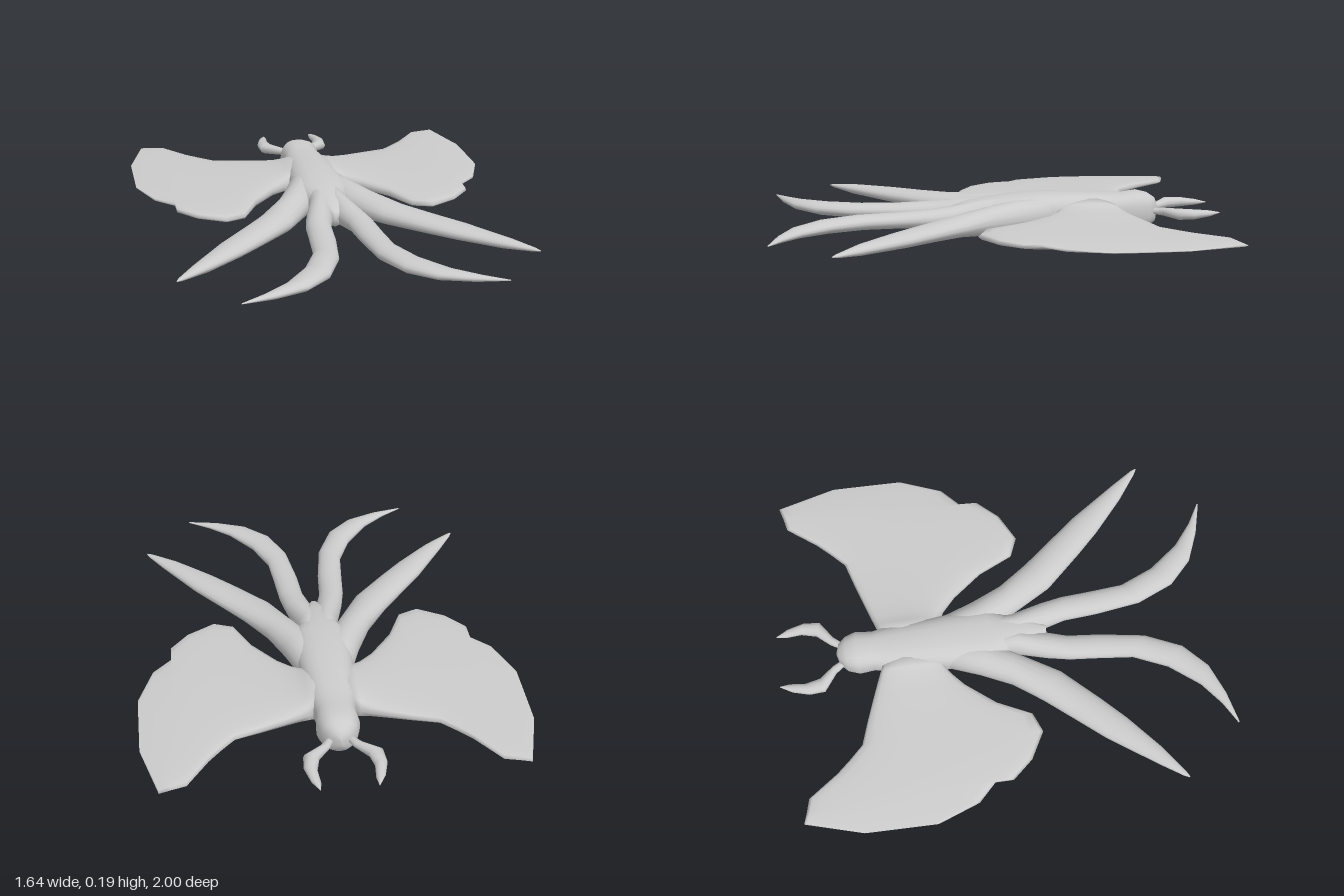
import * as THREE from 'three';

const MID = 0.094; // height of the plane every part is centred on

// Skin a row of flattened cross-sections. Each station is [ax, az, bx, bz, h]:
// the two side edges seen from above and the half height between them.
// power < 1 makes the section boxier than an ellipse.
function loft(name, stations, { side = 1, segments = 16, power = 1, material }) {
  const pos = [], index = [];
  const bend = (v) => Math.sign(v) * Math.pow(Math.abs(v), power);
  const rows = stations.map(([ax, az, bx, bz, h]) => ({
    cx: side * (ax + bx) / 2, cz: (az + bz) / 2,
    vx: side * (ax - bx) / 2, vz: (az - bz) / 2, h,
  }));
  for (const r of rows) {
    for (let j = 0; j < segments; j++) {
      const t = (j / segments) * Math.PI * 2;
      const c = power < 0.6 ? Math.cos(t) : bend(Math.cos(t));
      pos.push(r.cx + r.vx * c, MID + r.h * bend(Math.sin(t)), r.cz + r.vz * c);
    }
  }
  // Keep faces outward whichever way the stations run
  const [p, q] = rows;
  const outward = -p.vz * (q.cx - p.cx) + p.vx * (q.cz - p.cz) > 0;
  const tri = (a, b, c) => (outward ? index.push(a, b, c) : index.push(a, c, b));
  const last = rows.length - 1;
  for (let i = 0; i < last; i++) {
    for (let j = 0; j < segments; j++) {
      const k = (j + 1) % segments;
      const a = i * segments + j, b = i * segments + k;
      tri(a, b, a + segments);
      tri(b, b + segments, a + segments);
    }
  }
  // End caps
  for (const i of [0, last]) {
    const centre = pos.length / 3;
    pos.push(rows[i].cx, MID, rows[i].cz);
    for (let j = 0; j < segments; j++) {
      const a = i * segments + j, b = i * segments + ((j + 1) % segments);
      if (i) tri(centre, a, b); else tri(centre, b, a);
    }
  }
  const geometry = new THREE.BufferGeometry();
  geometry.setAttribute('position', new THREE.Float32BufferAttribute(pos, 3));
  geometry.setIndex(index);
  geometry.computeVertexNormals();
  const mesh = new THREE.Mesh(geometry, material);
  mesh.name = name;
  return mesh;
}

// Body: z, half width, half height from head to rump
const BODY = [
  [-0.735, 0.005, 0.02], [-0.722, 0.045, 0.055], [-0.69, 0.075, 0.077],
  [-0.64, 0.092, 0.089], [-0.57, 0.085, 0.08], [-0.5, 0.1, 0.082],
  [-0.35, 0.11, 0.089], [-0.2, 0.125, 0.093], [-0.05, 0.13, 0.085],
  [0.04, 0.085, 0.074], [0.13, 0.065, 0.06], [0.21, 0.02, 0.035],
].map(([z, w, h]) => [w, z, -w, z, h]);

// Wing: leading edge point, trailing edge point, half thickness
const WING = [
  [0.06, -0.53, 0.06, -0.27, 0.075], [0.11, -0.55, 0.11, -0.26, 0.055],
  [0.15, -0.565, 0.15, -0.235, 0.042], [0.22, -0.59, 0.21, -0.18, 0.035],
  [0.32, -0.625, 0.31, -0.05, 0.03], [0.43, -0.66, 0.38, 0.1, 0.026],
  [0.49, -0.72, 0.466, 0.135, 0.024], [0.545, -0.78, 0.587, 0.07, 0.021],
  [0.64, -0.91, 0.667, -0.02, 0.017], [0.7, -0.925, 0.667, -0.1, 0.015],
  [0.75, -0.94, 0.75, -0.18, 0.011], [0.82, -0.685, 0.82, -0.365, 0.002],
];

// Streamers: outer edge, inner edge, half height
const OUTER_TAIL = [
  [0.11, -0.27, 0.0, -0.22, 0.075], [0.17, -0.11, 0.03, -0.05, 0.074],
  [0.235, 0.03, 0.085, 0.05, 0.064], [0.33, 0.16, 0.2, 0.25, 0.045],
  [0.42, 0.27, 0.35, 0.41, 0.037], [0.535, 0.41, 0.45, 0.51, 0.032],
  [0.68, 0.62, 0.6, 0.64, 0.022], [0.742, 0.715, 0.722, 0.728, 0.008],
  [0.752, 0.738, 0.748, 0.742, 0.002],
];
const INNER_TAIL = [
  [0.09, -0.08, -0.01, -0.05, 0.078], [0.09, 0.06, -0.01, 0.1, 0.07],
  [0.13, 0.2, 0.015, 0.22, 0.05], [0.15, 0.3, 0.038, 0.3, 0.042],
  [0.16, 0.42, 0.05, 0.45, 0.035], [0.175, 0.58, 0.08, 0.65, 0.033],
  [0.24, 0.73, 0.15, 0.81, 0.03], [0.34, 0.86, 0.255, 0.91, 0.023],
  [0.44, 0.94, 0.39, 0.965, 0.014], [0.535, 0.995, 0.53, 1.0, 0.002],
];
const ANTENNA = [
  [0.055, -0.66, 0.015, -0.66, 0.016], [0.06, -0.71, 0.025, -0.712, 0.015],
  [0.088, -0.745, 0.05, -0.758, 0.018], [0.165, -0.8, 0.1, -0.818, 0.025],
  [0.17, -0.87, 0.116, -0.885, 0.022], [0.15, -0.945, 0.11, -0.955, 0.013],
  [0.12, -0.998, 0.116, -0.998, 0.002],
];

export function createModel() {
  const model = new THREE.Group();
  model.name = 'wingedInsect';
  const material = new THREE.MeshStandardMaterial({ color: 0xcccccc });

  model.add(loft('body', BODY, { material, segments: 24, power: 0.8 }));

  // Paired parts, mirrored left and right
  for (const [side, label] of [[1, 'left'], [-1, 'right']]) {
    model.add(
      loft(label + 'Wing', WING, { side, material, segments: 24, power: 0.5 }),
      loft(label + 'OuterTail', OUTER_TAIL, { side, material }),
      loft(label + 'InnerTail', INNER_TAIL, { side, material }),
      loft(label + 'Antenna', ANTENNA, { side, material, segments: 10 }),
    );
  }
  return model;
}
